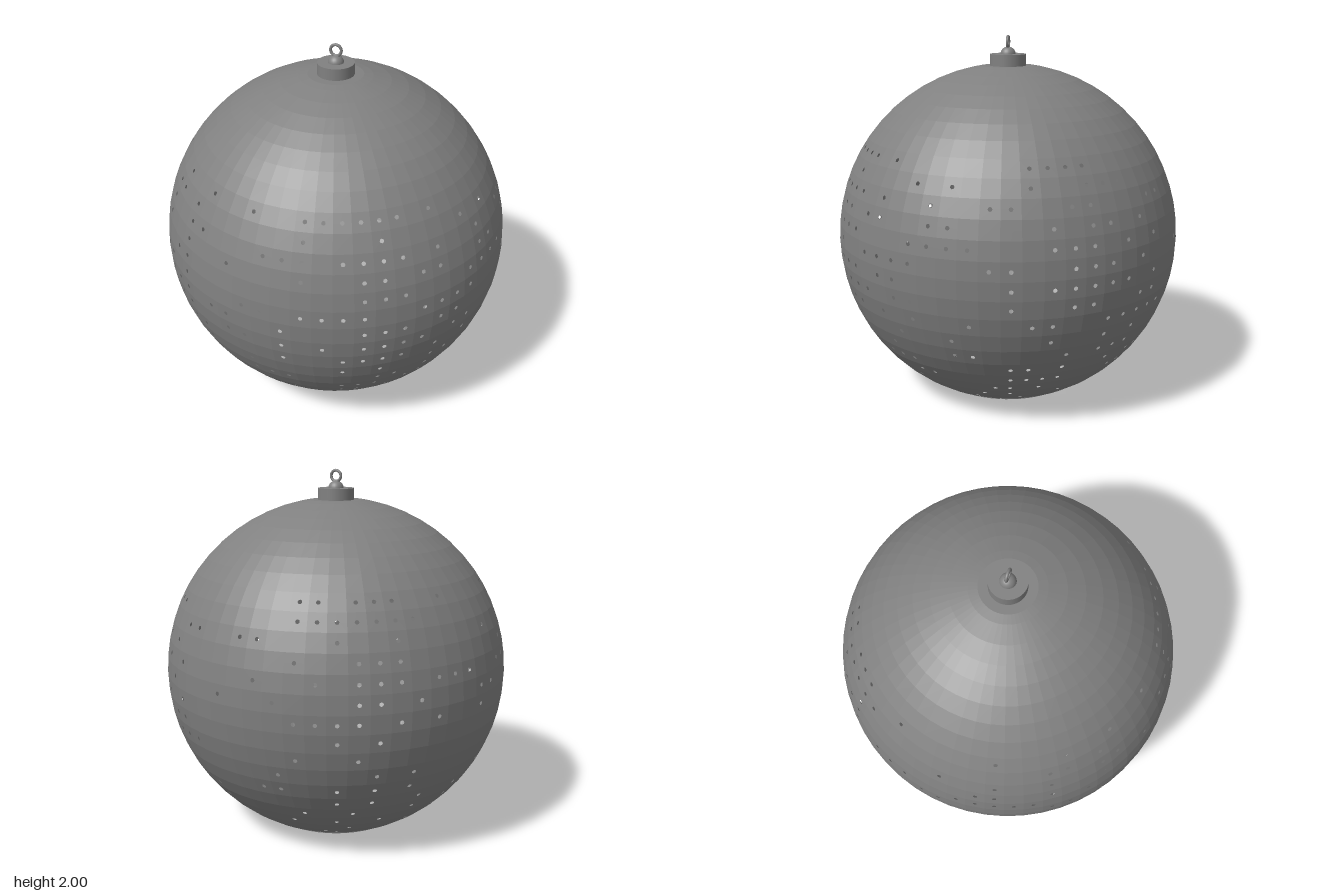
import * as THREE from 'three';

const R = 0.9616, CY = 0.8825;          // globe radius and centre height
const COLS = 56, STEP = 6, BOTTOM = -66, TOP = 81;
const rad = THREE.MathUtils.degToRad;

// Punched cells, one string per row from lat 33 down to lat -63, one letter per column
const ALPHABET = 'ABCDEFGHIJKLMNOPQRSTUVWXYZabcdefghijklmnopqrstuvwxyz0123';
const PUNCHED = [
  'BCDEFGIQRSTefhijmswz2', 'BFKMQTUVefghijkvwy', 'ABDEFGILOPSTXYbcgjpsvyz3',
  'BEFHILMPRTUWehijrsvy1', 'EFGKLMNRSTVXcfhijlmnqrstuxy', 'BCDEHIJKOPSTUWadhikopvwy23',
  'AEFGIJPRSTUVXefghjlovwxy01', 'ACEFGHJKPSTWXgistvxy12', 'ADEFGIKNQRUVWXYehvyz2',
  'DFIJMRUWdikuwz2', 'AFGIMNSUVWcdgikquvz023', 'DEFHIJPQSVXYgilouwy',
  'ADEGJKPQRSWXYehlovx13', 'AFGHIOPRdgjopwz2', 'CFHNPTZhmxz3',
  'DEIMQUfgnyz02', 'ACDEJOSXejpv3',
];

function isPunched(lat, col) {
  const row = PUNCHED[(33 - lat) / STEP];
  return row !== undefined && row.includes(ALPHABET[col]);
}

function onGlobe(lat, col) {
  const a = (col / COLS) * Math.PI * 2, b = rad(lat);
  return new THREE.Vector3(Math.cos(b) * Math.sin(a), Math.sin(b), Math.cos(b) * Math.cos(a))
    .multiplyScalar(R).add(new THREE.Vector3(0, CY, 0));
}

// Faceted globe: plain quads, or quads with an eight-sided hole
function globeGeometry() {
  const pos = [];
  const tri = (...pts) => pts.forEach((p) => pos.push(p.x, p.y, p.z));
  for (let lat = BOTTOM; lat < TOP; lat += STEP) {
    const upper = Math.min(lat + STEP, TOP);
    for (let c = 0; c < COLS; c++) {
      const corners = [onGlobe(lat, c), onGlobe(lat, c + 1), onGlobe(upper, c + 1), onGlobe(upper, c)];
      if (!isPunched(lat + STEP / 2, c)) {
        tri(corners[0], corners[1], corners[2]);
        tri(corners[0], corners[2], corners[3]);
        continue;
      }
      const mid = (i) => corners[i].clone().lerp(corners[(i + 1) % 4], 0.5);
      const rim = [0, 1, 2, 3].flatMap((i) => [corners[i], mid(i)]);
      const centre = mid(0).lerp(mid(2), 0.5);
      const across = corners[1].clone().sub(corners[0]).normalize();
      const up = mid(2).sub(mid(0)).normalize();
      const hole = rim.map((_, i) => {
        const t = (i / 8) * Math.PI * 2 - Math.PI * 0.75;
        return centre.clone().addScaledVector(across, 0.0115 * Math.cos(t)).addScaledVector(up, 0.0115 * Math.sin(t));
      });
      for (let i = 0; i < 8; i++) {
        const j = (i + 1) % 8;
        tri(rim[i], rim[j], hole[j]);
        tri(rim[i], hole[j], hole[i]);
      }
    }
  }
  const g = new THREE.BufferGeometry();
  g.setAttribute('position', new THREE.Float32BufferAttribute(pos, 3));
  g.computeVertexNormals();
  return g;
}

export function createModel() {
  const group = new THREE.Group();
  const shell = new THREE.MeshStandardMaterial({ color: 0x808080, flatShading: true, side: THREE.DoubleSide });
  const smooth = new THREE.MeshStandardMaterial({ color: 0x808080 });
  const add = (name, geometry, material, y = 0) => {
    const mesh = new THREE.Mesh(geometry, material);
    mesh.name = name;
    mesh.position.y = y;
    group.add(mesh);
  };

  add('perforatedGlobe', globeGeometry(), shell);

  // short collar around the open bottom
  const lipR = R * Math.cos(rad(BOTTOM)), lipH = CY + R * Math.sin(rad(BOTTOM));
  add('bottomLip', new THREE.CylinderGeometry(lipR, lipR, lipH, COLS, 1, true), shell, lipH / 2);

  // flat plate closing the top
  const topY = CY + R * Math.sin(rad(TOP));
  add('topPlate', new THREE.CircleGeometry(R * Math.cos(rad(TOP)), COLS).rotateX(-Math.PI / 2), shell, topY);

  // cap, knob and hanging ring
  add('cap', new THREE.CylinderGeometry(0.1, 0.1, 1.896 - topY, 48), smooth, (1.896 + topY) / 2);
  add('knob', new THREE.SphereGeometry(0.043, 24, 10, 0, Math.PI * 2, 0, Math.PI / 2), smooth, 1.893);
  add('hangingRing', new THREE.TorusGeometry(0.03, 0.008, 10, 32), smooth, 1.962);
  return group;
}
